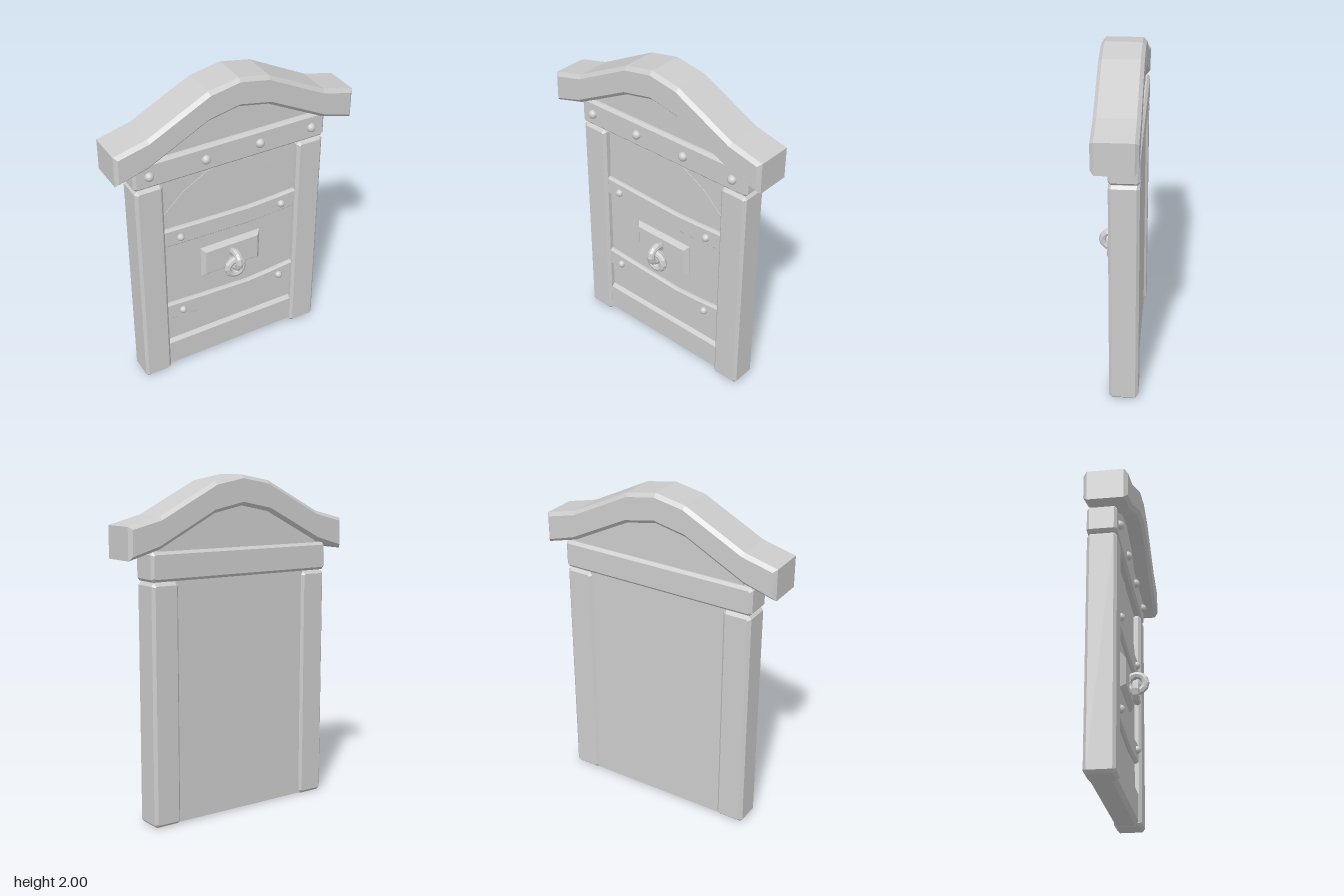
import * as THREE from 'three';

const material = new THREE.MeshStandardMaterial({ color: 0xcccccc, flatShading: true });
const smooth = new THREE.MeshStandardMaterial({ color: 0xcccccc });

export function createModel() {
  const model = new THREE.Group();

  function add(name, geometry, x = 0, y = 0, z = 0, mat = material) {
    const mesh = new THREE.Mesh(geometry, mat);
    mesh.name = name;
    mesh.position.set(x, y, z);
    model.add(mesh);
    return mesh;
  }

  // Slab with a given outline between two depths, with chamfered rims
  function slab(name, points, zBack, zFront, bevel = 0) {
    const shape = new THREE.Shape(points.map(([x, y]) => new THREE.Vector2(x, y)));
    const geometry = new THREE.ExtrudeGeometry(shape, {
      depth: zFront - zBack - 2 * bevel,
      bevelEnabled: bevel > 0,
      bevelThickness: bevel, bevelSize: bevel, bevelOffset: -bevel, bevelSegments: 1,
    });
    return add(name, geometry, 0, 0, zBack + bevel);
  }

  // Box outline with cut corners
  function block(name, x0, x1, y0, y1, zBack, zFront, bevel, cut = bevel) {
    const c = cut;
    const outline = c > 0
      ? [[x0 + c, y0], [x1 - c, y0], [x1, y0 + c], [x1, y1 - c],
         [x1 - c, y1], [x0 + c, y1], [x0, y1 - c], [x0, y0 + c]]
      : [[x0, y0], [x1, y0], [x1, y1], [x0, y1]];
    return slab(name, outline, zBack, zFront, bevel);
  }

  function stud(name, x, y, z, r) {
    add(name, new THREE.SphereGeometry(r, 14, 10), x, y, z, smooth);
  }

  // Mirrors the left half of an outline; the last point lies on the centre line
  const mirrored = (half) => [...half, ...half.slice(0, -1).reverse().map(([x, y]) => [-x, y])];

  // Frame posts and cross beam
  block('leftPost', 0.445, 0.62, 0, 1.412, -0.138, 0.034, 0.017);
  block('rightPost', -0.62, -0.445, 0, 1.412, -0.138, 0.034, 0.017);
  block('crossBeam', -0.625, 0.625, 1.417, 1.585, -0.14, 0.034, 0.016);
  for (const x of [-0.532, -0.177, 0.177, 0.527]) stud('beamStud', x, 1.5, 0.036, 0.028);

  // Wall panel, arched door leaf and threshold
  block('backPanel', -0.46, 0.46, 0.005, 1.45, -0.123, -0.012, 0);
  const arch = mirrored([[-0.45, 1.16], [-0.30, 1.30], [-0.15, 1.385], [0, 1.415]]);
  slab('doorLeaf', [[-0.45, 0.005], ...arch, [0.45, 0.005]], -0.05, -0.008);
  block('threshold', -0.47, 0.47, 0.005, 0.215, -0.12, 0.014, 0.022, 0);

  // Sagging door straps with studs
  const strap = (y, sag) => {
    const top = [[-0.46, y + 0.065], [-0.2, y + 0.065 - sag * 0.5], [0.12, y + 0.065 - sag],
      [0.3, y + 0.065 - sag * 0.55], [0.46, y + 0.065]];
    const bottom = top.map(([x, v]) => [x, v - 0.124]).reverse();
    slab('doorStrap', [...top, ...bottom], -0.04, 0.016, 0.012);
    for (const x of [-0.345, 0.345]) stud('strapStud', x, y - 0.006, 0.02, 0.024);
  };
  strap(1.01, 0.018);
  strap(0.45, 0.028);

  // Handle plate with a fixed loop and a hanging ring
  block('handlePlate', -0.205, 0.205, 0.638, 0.85, -0.03, 0.025, 0.025, 0);
  const ring = new THREE.TorusGeometry(0.053, 0.023, 8, 12);
  add('handleLoop', ring, 0, 0.735, 0.064).rotation.y = Math.PI / 2;
  add('handleRing', ring, 0, 0.678, 0.063);

  // Curved roof, following one line along the top and one along the underside
  const roofTop = mirrored([[-0.76, 1.728], [-0.56, 1.778], [-0.19, 1.965], [0, 2.0]]);
  const roofUnder = mirrored([[-0.76, 1.542], [-0.56, 1.597], [-0.19, 1.785], [0, 1.823]]);
  slab('roof', [...roofTop, ...roofUnder.slice().reverse()], -0.138, 0.115, 0.021);

  // Gable panel filling the space between beam and roof
  const gable = mirrored([[-0.56, 1.62], [-0.19, 1.82], [0, 1.86]]);
  slab('gable', [[-0.56, 1.52], ...gable, [0.56, 1.52]], -0.115, 0.005);

  return model;
}
